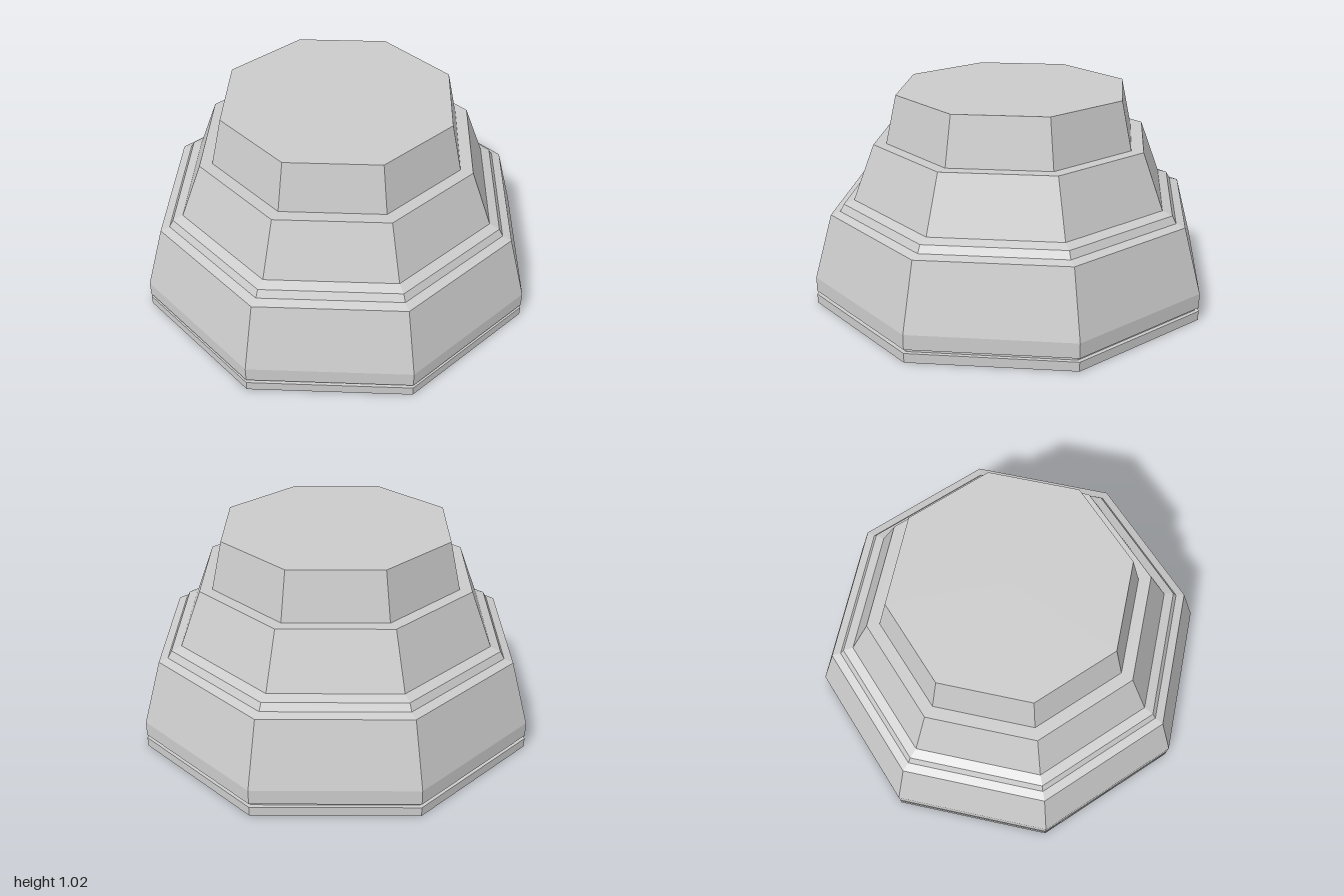
import * as THREE from 'three';

const SIDES = 8;

export function createModel() {
  const model = new THREE.Group();
  model.name = 'steppedPedestal';
  const material = new THREE.MeshStandardMaterial({ color: 0xcccccc, flatShading: true });

  // Each tier is an octagonal band turned from [radius, height] points, bottom to top
  const addTier = (name, profile) => {
    const points = profile.map(([r, y]) => new THREE.Vector2(r, y));
    const mesh = new THREE.Mesh(new THREE.LatheGeometry(points, SIDES), material);
    mesh.name = name;
    model.add(mesh);
  };

  // Foot plate with its closed underside
  addTier('footPlate', [[0, 0], [1, 0], [1, 0.045], [0.98, 0.045]]);
  // Thin recessed groove above the foot
  addTier('groove', [[0.98, 0.045], [0.98, 0.063]]);
  // Lower body: short upright band, then a tapering wall
  addTier('lowerTier', [[0.98, 0.063], [1, 0.063], [1, 0.135], [0.91, 0.452]]);
  // Sloped ledge moulding between the lower and middle tiers
  addTier('moulding', [[0.91, 0.452], [0.865, 0.465], [0.845, 0.5], [0.795, 0.517]]);
  // Middle tier with the flat step on top
  addTier('middleTier', [[0.795, 0.517], [0.69, 0.785], [0.628, 0.785]]);
  // Upper tier with its flat top
  addTier('upperTier', [[0.628, 0.785], [0.575, 1.018], [0, 1.018]]);

  return model;
}
